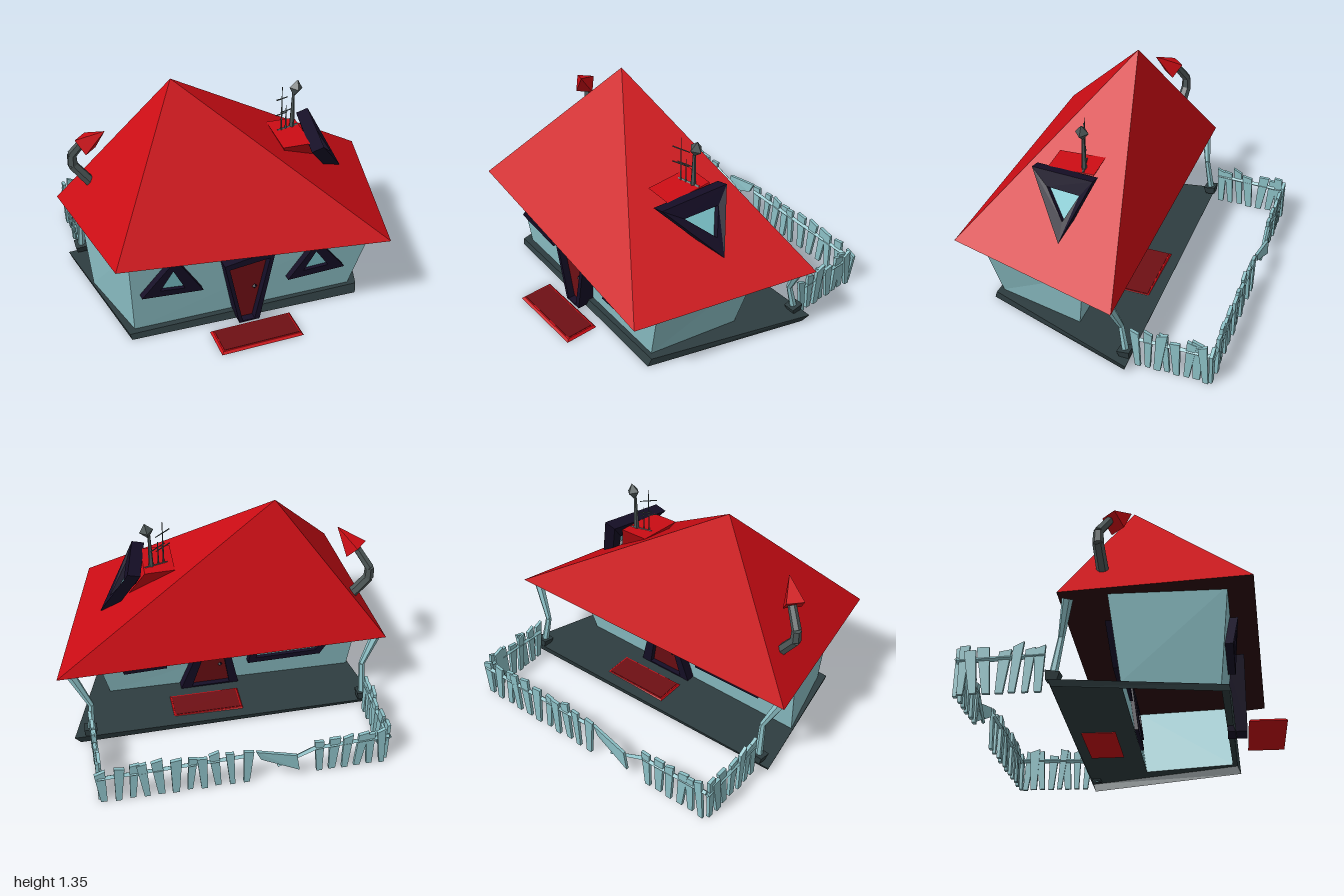
import * as THREE from 'three';

const mat = (color, side = THREE.FrontSide) => new THREE.MeshStandardMaterial({ color, side, flatShading: true });
const M = {
  red: mat(0xcc0c14), darkRed: mat(0x6e0f14), eave: mat(0x2c0a0c, THREE.DoubleSide), wall: mat(0x8cc0c6, THREE.DoubleSide),
  wood: mat(0x8cc0c6), glass: mat(0x7cc4cc), frame: mat(0x150e26), stone: mat(0x2e3d40, THREE.DoubleSide), metal: mat(0x4c5656),
};

// Flat-faced geometry from a list of convex polygons
function faces(polys) {
  const pos = [];
  for (const p of polys)
    for (let i = 1; i < p.length - 1; i++) pos.push(...p[0], ...p[i], ...p[i + 1]);
  const g = new THREE.BufferGeometry();
  g.setAttribute('position', new THREE.Float32BufferAttribute(pos, 3));
  g.computeVertexNormals();
  return g;
}

// True when ring a already runs anticlockwise seen from the side facing away from d
function outward(a, d) {
  const [p, q, r] = a.slice(0, 3).map(v => new THREE.Vector3(...v));
  return q.sub(p).cross(r.sub(p)).dot(new THREE.Vector3(...d)) < 0;
}
const shift = (ring, d) => ring.map(p => p.map((v, k) => v + d[k]));

// Quads joining ring a to ring b
const band = (a, b) => a.map((p, i) => { const j = (i + 1) % a.length; return [a[j], p, b[i], b[j]]; });

// Closed solid between two rings of corners
function solid(a, b) {
  if (!outward(a, b[0].map((v, k) => v - a[0][k]))) { a = [...a].reverse(); b = [...b].reverse(); }
  return faces([...band(a, b), a, [...b].reverse()]);
}

// Frame with an opening, pushed back along d
function frame(o, n, d) {
  if (!outward(o, d)) { o = [...o].reverse(); n = [...n].reverse(); }
  const ob = shift(o, d), nb = shift(n, d);
  return faces([...band(n, o), ...band(o, ob), ...band(nb, n), ...band(ob, nb)]);
}

function add(parent, name, geo, material) {
  const m = new THREE.Mesh(geo, material);
  m.name = name;
  parent.add(m);
  return m;
}

// Tapered bar between two points
function bar(parent, name, p, q, r1, r2, sides, material) {
  const a = new THREE.Vector3(...p), b = new THREE.Vector3(...q), dir = b.clone().sub(a);
  const m = add(parent, name, new THREE.CylinderGeometry(r2, r1, dir.length(), sides), material);
  m.position.copy(a).add(b).multiplyScalar(0.5);
  m.quaternion.setFromUnitVectors(new THREE.Vector3(0, 1, 0), dir.normalize());
  return m;
}

// Frame plus a recessed pane
function opening(parent, name, outer, inner, d, paneMat) {
  const g = new THREE.Group();
  g.name = name;
  add(g, name + 'Frame', frame(outer, inner, d), M.frame);
  add(g, name + 'Pane', solid(shift(inner, d.map(v => v * 0.4)), shift(inner, d.map(v => v * 0.7))), paneMat);
  parent.add(g);
}

// Mat with bevelled edges
function doorMat(parent, name, x, y, z, w, l) {
  const rect = (h, i) => [[-1, 1], [1, 1], [1, -1], [-1, -1]].map(([a, b]) => [x + a * (w / 2 - i), y + h, z + b * (l / 2 - i)]);
  add(parent, name, solid(rect(0.013, 0.012), rect(0, 0)), M.red);
  add(parent, name + 'Centre', solid(rect(0.016, 0.02), rect(0.01, 0.02)), M.darkRed);
}

export function createModel() {
  const root = new THREE.Group();
  root.name = 'crookedHouse';

  // Plinth sides, and a thin floor around the open foot of the walls
  const floorEdge = [[-0.8, 0.035, 0.56], [0.61, 0.055, 0.6], [0.935, 0.06, -0.36], [-0.955, 0.035, -0.34]];
  const plinthFoot = [[-0.79, 0, 0.57], [0.6, 0, 0.62], [0.9, 0, -0.34], [-0.94, 0, -0.32]];
  const wallFoot = [[-0.76, 0.033, 0.52], [0.57, 0.052, 0.57], [0.68, 0.055, 0.02], [-0.88, 0.034, 0.02]];
  const wallTop = [[-0.79, 0.6, 0.575], [0.7, 0.5, 0.625], [0.78, 0.5, -0.05], [-0.915, 0.53, -0.05]];
  add(root, 'plinth', faces(band(floorEdge, plinthFoot)), M.stone);
  add(root, 'porchFloor', faces(band(wallFoot, floorEdge)), M.stone);

  // Leaning walls
  add(root, 'walls', faces(band(wallTop, wallFoot)), M.wall);

  // Off-centre pyramid roof
  const apex = [-0.355, 1.345, 0.04];
  const eaves = [[-0.89, 0.605, 0.71], [0.71, 0.475, 0.795], [1, 0.485, -0.3], [-1, 0.495, -0.3]];
  add(root, 'roof', faces(eaves.map((p, i) => [p, eaves[(i + 1) % 4], apex])), M.red);
  add(root, 'roofUnderside', faces([[...eaves].reverse()]), M.eave);

  // Points lying just outside the leaning front and back walls
  const front = pts => pts.map(([x, y]) => [x, y, 0.549 + 0.036 * x + 0.115 * (y - 0.05) + 0.04]);
  const back = pts => pts.map(([x, y]) => [x, y, 0.02 - 0.14 * (y - 0.06) - 0.045]);
  const flat = pts => pts.map(([x, y]) => [x, y, 0.655]);

  // Front windows and door
  opening(root, 'frontRightWindow', front([[-0.53, 0.54], [-0.725, 0.295], [-0.365, 0.27]]),
    front([[-0.545, 0.46], [-0.62, 0.33], [-0.475, 0.315]]), [0, 0, -0.06], M.glass);
  opening(root, 'frontLeftWindow', front([[0.32, 0.47], [0.155, 0.21], [0.51, 0.23]]),
    front([[0.315, 0.395], [0.245, 0.26], [0.4, 0.27]]), [0, 0, -0.06], M.glass);
  opening(root, 'frontDoor', flat([[-0.255, 0.44], [-0.165, 0.01], [-0.04, 0.01], [0.055, 0.49]]),
    flat([[-0.225, 0.41], [-0.145, 0.02], [-0.07, 0.02], [0.02, 0.435]]), [0, 0, -0.11], M.darkRed);
  add(root, 'frontDoorKnob', new THREE.OctahedronGeometry(0.016), M.frame).position.set(-0.06, 0.23, 0.62);
  doorMat(root, 'frontMat', -0.1, 0, 0.765, 0.5, 0.21);

  // Back windows and door
  opening(root, 'backLeftWindow', back([[0.32, 0.25], [0.59, 0.24], [0.64, 0.45], [0.32, 0.47]]),
    back([[0.365, 0.29], [0.555, 0.28], [0.59, 0.41], [0.365, 0.43]]), [0, 0, 0.06], M.glass);
  opening(root, 'backRightWindow', back([[-0.2, 0.2], [-0.67, 0.205], [-0.78, 0.43], [-0.24, 0.46]]),
    back([[-0.25, 0.24], [-0.64, 0.245], [-0.715, 0.39], [-0.28, 0.42]]), [0, 0, 0.06], M.glass);
  opening(root, 'backDoor', shift(back([[0.23, 0.05], [0.1, 0.46], [-0.05, 0.46], [-0.14, 0.05]]), [0, 0, -0.015]),
    shift(back([[0.16, 0.06], [0.07, 0.42], [-0.02, 0.42], [-0.08, 0.06]]), [0, 0, -0.015]), [0, 0, 0.08], M.darkRed);
  add(root, 'backDoorKnob', new THREE.OctahedronGeometry(0.016), M.frame).position.set(-0.02, 0.22, -0.04);
  doorMat(root, 'backMat', 0.1, 0.04, -0.19, 0.45, 0.2);

  // Crooked porch posts on stone feet
  const posts = {
    leftPost: [[0.92, 0.48, -0.25], [0.815, 0.25, -0.29], [0.835, 0.05, -0.33]],
    rightPost: [[-0.95, 0.48, -0.25], [-0.865, 0.3, -0.29], [-0.875, 0.05, -0.33]],
  };
  for (const [name, p] of Object.entries(posts)) {
    bar(root, name + 'Top', p[1], p[0], 0.018, 0.03, 6, M.wood);
    bar(root, name + 'Bottom', p[2], p[1], 0.024, 0.018, 6, M.wood);
    const foot = add(root, name + 'Foot', new THREE.CylinderGeometry(0.055, 0.04, 0.05, 4), M.stone);
    foot.position.set(p[2][0], 0.075, p[2][2] + 0.005);
    foot.rotation.set(0.1, 0.75, 0.1);
  }

  // Bent chimney pipe with a tilted cap
  const pipe = [[-0.8, 0.66, -0.08], [-0.92, 0.82, -0.1], [-0.92, 0.89, -0.1], [-0.85, 1.0, -0.05]];
  for (let i = 0; i < 3; i++) bar(root, 'chimneyPipe', pipe[i], pipe[i + 1], 0.034 - i * 0.003, 0.031 - i * 0.003, 6, M.metal);
  bar(root, 'chimneyCap', [-0.85, 0.985, -0.03], [-0.755, 1.095, 0.06], 0.074, 0.002, 4, M.red);

  // Dormer on the left slope
  const dormer = [[0.41, 0.92, 0.31], [0.42, 0.94, 0.02], [0.52, 0.72, 0.13]];
  add(root, 'dormerBody', solid(dormer, shift(dormer, [-0.18, 0.005, 0])), M.red);
  opening(root, 'dormerWindow', [[0.45, 0.93, 0.39], [0.525, 0.97, -0.015], [0.69, 0.62, 0.135]],
    [[0.505, 0.855, 0.275], [0.545, 0.87, 0.06], [0.625, 0.725, 0.135]], [-0.075, -0.02, 0], M.glass);

  // Rooftop aerials
  const aerial = new THREE.Group();
  aerial.name = 'aerials';
  root.add(aerial);
  bar(aerial, 'vanePole', [0.37, 0.91, 0.1], [0.375, 1.16, 0.1], 0.017, 0.008, 5, M.metal);
  const vane = add(aerial, 'vane', new THREE.OctahedronGeometry(0.05), M.metal);
  vane.position.set(0.39, 1.185, 0.1);
  vane.scale.set(0.85, 1.05, 0.8);
  vane.rotation.z = -0.2;
  bar(aerial, 'aerialFoot', [0.27, 0.93, 0.125], [0.41, 0.93, 0.09], 0.012, 0.012, 4, M.metal);
  for (const [x, z, top, rungs] of [[0.293, 0.125, 1.22, [1.04, 1.14]], [0.325, 0.115, 1.09, [1.05]]]) {
    bar(aerial, 'aerialMast', [x, 0.92, z], [x, top, z], 0.006, 0.002, 4, M.metal);
    for (const y of rungs) bar(aerial, 'aerialRung', [x - 0.045, y + 0.012, z + 0.025], [x + 0.045, y - 0.005, z - 0.025], 0.004, 0.003, 4, M.metal);
  }

  // Ramshackle picket fence
  let seed = 7;
  const rnd = () => (seed = (seed * 16807) % 2147483647) / 2147483647;
  const fence = new THREE.Group();
  fence.name = 'fence';
  root.add(fence);
  function run(x0, z0, x1, z1, n) {
    const g = new THREE.Group(), len = Math.hypot(x1 - x0, z1 - z0);
    g.name = 'fenceRun';
    g.position.set(x0, 0, z0);
    g.rotation.y = Math.atan2(z0 - z1, x1 - x0);
    for (let i = 0; i < n; i++) {
      const x = 0.03 + (len - 0.06) * i / (n - 1), h = 0.23 + rnd() * 0.04, s = (rnd() - 0.5) * 0.03, lean = (rnd() - 0.5) * 0.06;
      const z = 0.01 + (rnd() - 0.5) * 0.014, w = 0.024 + rnd() * 0.01;
      const face = [[x - w * 0.6, 0, z], [x + w * 0.6, 0, z], [x + lean + w, h + s, z], [x + lean - w, h - s, z]];
      add(g, 'picket', solid(face, shift(face, [0, 0, -0.02])), M.wood);
    }
    bar(g, 'rail', [0, 0.185, -0.002], [len, 0.2, -0.002], 0.015, 0.015, 4, M.wood);
    fence.add(g);
  }
  run(0.84, -0.83, -0.05, -0.83, 11);
  run(-0.43, -0.83, -0.87, -0.83, 6);
  run(0.825, -0.37, 0.825, -0.83, 8);
  run(-0.875, -0.83, -0.875, -0.37, 7);

  // Broken planks hanging in the gap
  const plank = [[-0.07, 0.24, -0.85], [-0.1, 0.17, -0.845], [-0.33, 0.06, -0.865], [-0.31, 0.18, -0.865]];
  add(fence, 'brokenPlank', solid(plank, shift(plank, [0, 0, 0.018])), M.wood);
  bar(fence, 'brokenRail', [-0.43, 0.19, -0.83], [-0.2, 0.1, -0.845], 0.016, 0.01, 4, M.wood);

  return root;
}
